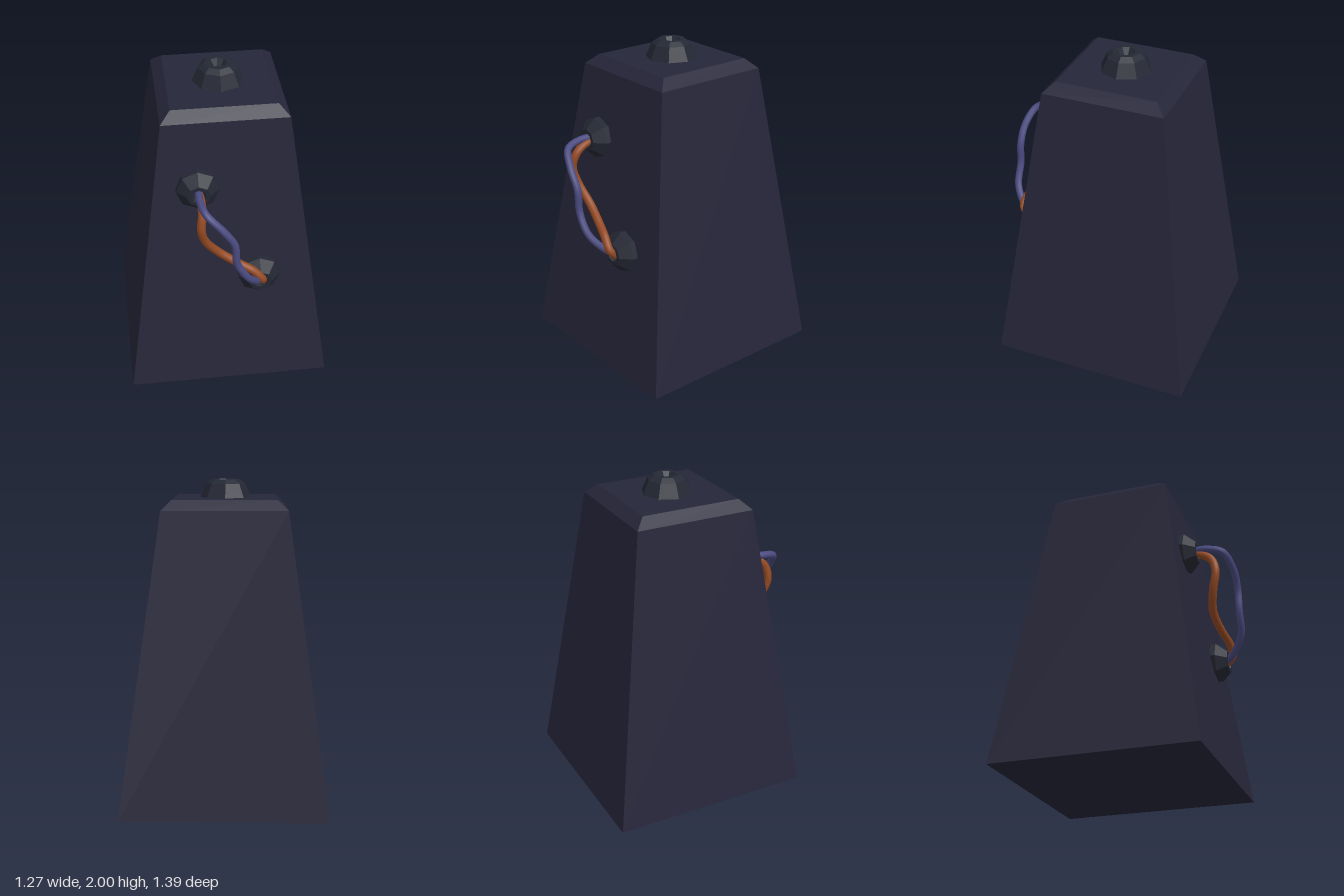
import * as THREE from 'three';

const mat = (name, color) => {
  const m = new THREE.MeshStandardMaterial({ color });
  m.name = name;
  return m;
};

// Hard facets: split every face and recompute its normal
function faceted(geometry) {
  const g = geometry.index ? geometry.toNonIndexed() : geometry;
  g.computeVertexNormals();
  return g;
}

function addMesh(parent, name, geometry, material) {
  const mesh = new THREE.Mesh(geometry, material);
  mesh.name = name;
  parent.add(mesh);
  return mesh;
}

// Square frustum given half widths at bottom and top
function frustum(bottom, top, y0, y1, open) {
  const g = new THREE.CylinderGeometry(top * Math.SQRT2, bottom * Math.SQRT2, y1 - y0, 4, 1, open);
  g.rotateY(Math.PI / 4);
  g.translate(0, (y0 + y1) / 2, 0);
  return faceted(g);
}

const lathe = (points) =>
  faceted(new THREE.LatheGeometry(points.map(([r, y]) => new THREE.Vector2(r, y)), 8));

function wire(points, radius) {
  const curve = new THREE.CatmullRomCurve3(points.map((p) => new THREE.Vector3(...p)));
  return new THREE.TubeGeometry(curve, 48, radius, 10, false);
}

export function createModel() {
  const model = new THREE.Group();
  model.name = 'pylon';
  const bodyMat = mat('dark navy', 0x26263a);
  const fittingMat = mat('dark slate', 0x242834);
  const blueMat = mat('wire violet', 0x4a4a80);
  const orangeMat = mat('wire orange', 0x944a24);

  // Tapered block with a bevelled top
  const body = new THREE.Group();
  body.name = 'body';
  body.position.z = -0.06;
  model.add(body);
  addMesh(body, 'taperedBlock', frustum(0.633, 0.378, 0, 1.83), bodyMat);
  addMesh(body, 'topBevel', frustum(0.378, 0.315, 1.83, 1.89), bodyMat);

  // Domed socket on the top, with a recessed hole
  const knob = addMesh(model, 'topSocket', lathe([
    [0.158, 0], [0.12, 0.085], [0.085, 0.11], [0.055, 0.11], [0.03, 0.07], [0, 0.06],
  ]), fittingMat);
  knob.position.set(0, 1.89, -0.06);

  // Two matching wire sockets on the front
  const socketGeometry = lathe([
    [0, -0.01], [0.105, -0.01], [0.13, 0.005], [0.13, 0.04], [0.07, 0.105], [0.045, 0.105], [0.03, 0.07], [0, 0.06],
  ]);
  for (const [name, x, y, z] of [['upperSocket', -0.175, 1.415, 0.36], ['lowerSocket', 0.19, 0.8, 0.45]]) {
    const socket = addMesh(model, name, socketGeometry, fittingMat);
    socket.rotation.x = Math.PI / 2;
    socket.position.set(x, y, z);
  }

  // Wires looping between the sockets
  addMesh(model, 'violetWire', wire([
    [-0.175, 1.43, 0.42], [-0.175, 1.425, 0.53], [-0.15, 1.4, 0.62], [-0.06, 1.31, 0.665], [0.01, 1.2, 0.67],
    [0.025, 1.06, 0.67], [0.09, 0.94, 0.662], [0.14, 0.87, 0.62], [0.18, 0.815, 0.56], [0.2, 0.79, 0.51],
  ], 0.023), blueMat);
  addMesh(model, 'orangeWire', wire([
    [-0.17, 1.41, 0.42], [-0.165, 1.395, 0.49], [-0.165, 1.35, 0.55], [-0.175, 1.26, 0.575], [-0.15, 1.15, 0.55],
    [-0.07, 1.04, 0.525], [0.05, 0.955, 0.545], [0.14, 0.905, 0.57], [0.195, 0.84, 0.578], [0.205, 0.79, 0.53],
  ], 0.026), orangeMat);

  return model;
}
